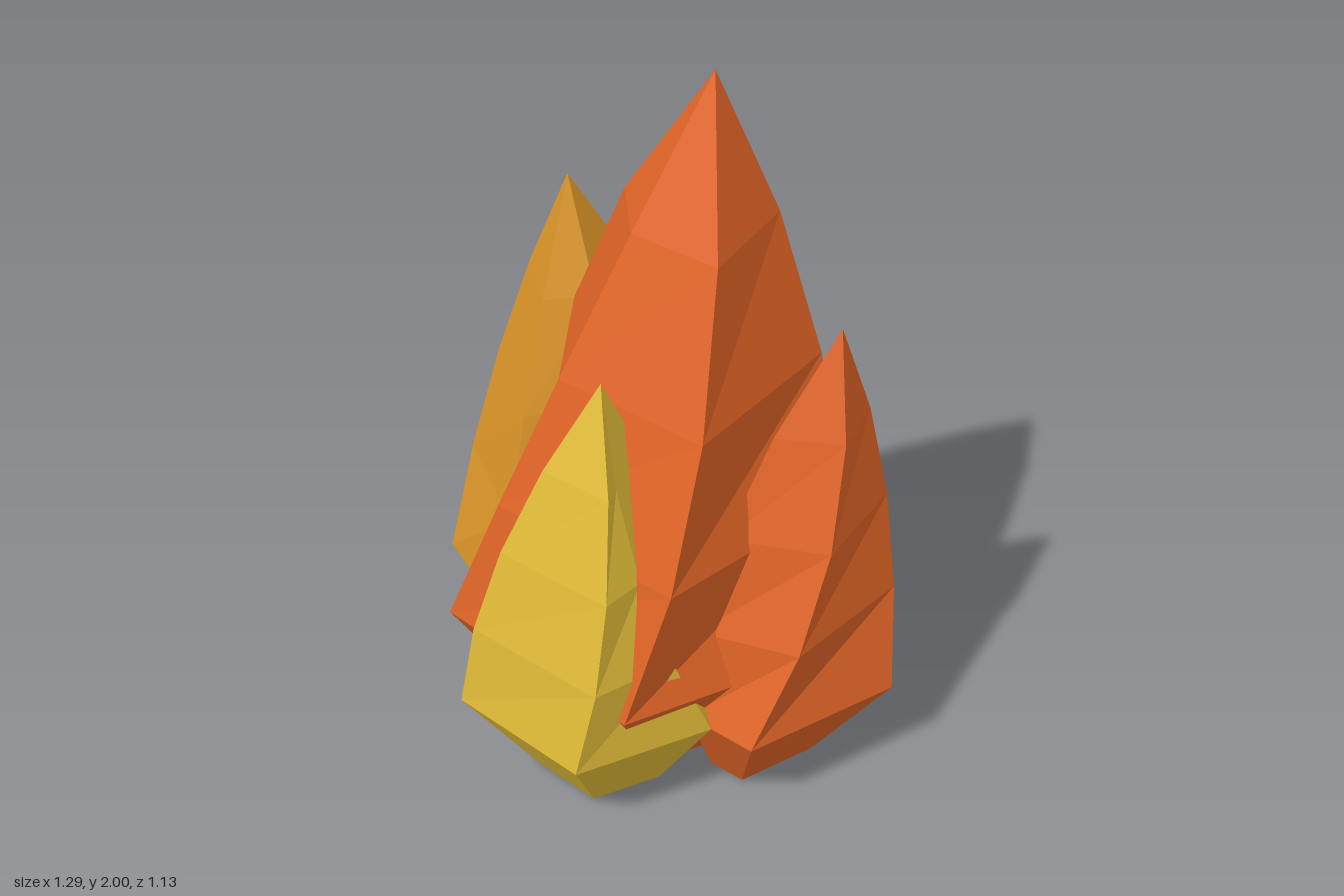
import * as THREE from 'three';

const orange = new THREE.MeshStandardMaterial({ color: 0xe06426, flatShading: true });
orange.name = 'orange flame';
const amber = new THREE.MeshStandardMaterial({ color: 0xda9427, flatShading: true });
amber.name = 'amber flame';
const yellow = new THREE.MeshStandardMaterial({ color: 0xe2bc38, flatShading: true });
yellow.name = 'yellow flame';

const STEPS = 4;

// Curve from a to c that passes through b halfway
const bend = (a, b, c, t) => {
  const k = 2 * b - (a + c) / 2;
  return (1 - t) * (1 - t) * a + 2 * t * (1 - t) * k + t * t * c;
};

// One five-sided flame tongue. Each ridge is [lowX, lowZ, midX, midZ], listed
// counterclockwise from above; all ridges meet at the tip.
function flame(name, material, tip, lowY, baseY, ridges) {
  const n = ridges.length;
  const [tx, ty, tz] = tip;
  const cx = ridges.reduce((s, r) => s + r[0], 0) / n;
  const cz = ridges.reduce((s, r) => s + r[1], 0) / n;

  // Small foot, drawn in towards the middle of the fire
  const foot = [cx * 0.83, baseY, cz * 0.83];
  const rings = [ridges.map(([x, z]) => [
    foot[0] + (x - cx) * 0.5, baseY, foot[2] + (z - cz) * 0.5,
  ])];
  for (let s = 0; s < STEPS; s++) {
    const t = s / STEPS;
    rings.push(ridges.map(([x, z, mx, mz]) => [
      bend(x, mx, tx, t), lowY + (ty - lowY) * t, bend(z, mz, tz, t),
    ]));
  }

  const pos = [];
  const tri = (a, b, c) => pos.push(...a, ...b, ...c);
  const top = rings[rings.length - 1];
  for (let i = 0; i < n; i++) {
    const j = (i + 1) % n;
    tri(foot, rings[0][j], rings[0][i]);
    for (let r = 0; r < rings.length - 1; r++) {
      const lo = rings[r], hi = rings[r + 1];
      tri(lo[i], lo[j], hi[j]);
      tri(lo[i], hi[j], hi[i]);
    }
    tri(top[i], top[j], tip);
  }
  const geometry = new THREE.BufferGeometry();
  geometry.setAttribute('position', new THREE.Float32BufferAttribute(pos, 3));
  geometry.computeVertexNormals();
  const mesh = new THREE.Mesh(geometry, material);
  mesh.name = name;
  return mesh;
}

export function createModel() {
  const group = new THREE.Group();
  group.name = 'fire';
  group.add(
    flame('mainFlame', orange, [0.105, 2, -0.1], 0.41, 0.015, [
      [-0.42, 0.35, -0.14, 0.22],
      [0.21, 0.465, 0.305, 0.26],
      [0.53, -0.1, 0.35, -0.23],
      [0.09, -0.565, -0.025, -0.42],
      [-0.42, -0.25, -0.31, -0.1],
    ]),
    flame('frontFlame', yellow, [0.04, 1.31, 0.3], 0.28, 0.01, [
      [-0.28, 0.5, -0.17, 0.45],
      [0.13, 0.57, 0.17, 0.48],
      [0.33, 0.24, 0.19, 0.36],
      [0.06, 0.05, 0.12, 0.12],
      [-0.31, 0.22, -0.19, 0.18],
    ]),
    flame('leftFlame', orange, [0.465, 1.385, -0.12], 0.28, 0, [
      [0.25, 0.23, 0.3, 0.14],
      [0.46, 0.255, 0.555, 0.05],
      [0.645, -0.155, 0.55, -0.245],
      [0.32, -0.44, 0.32, -0.33],
      [0.12, -0.2, 0.25, -0.2],
    ]),
    flame('rightFlame', amber, [-0.4, 1.49, -0.21], 0.32, 0.02, [
      [-0.65, 0.03, -0.59, -0.14],
      [-0.36, 0.2, -0.36, 0.07],
      [-0.12, -0.1, -0.18, -0.1],
      [-0.16, -0.46, -0.21, -0.42],
      [-0.56, -0.42, -0.46, -0.41],
    ]),
    flame('backFlame', amber, [0.08, 1.04, -0.41], 0.21, 0.01, [
      [-0.2, -0.35, -0.09, -0.37],
      [0.05, -0.2, 0.08, -0.3],
      [0.28, -0.4, 0.26, -0.385],
      [0.23, -0.56, 0.27, -0.5],
      [-0.17, -0.54, -0.08, -0.545],
    ]),
  );
  return group;
}
